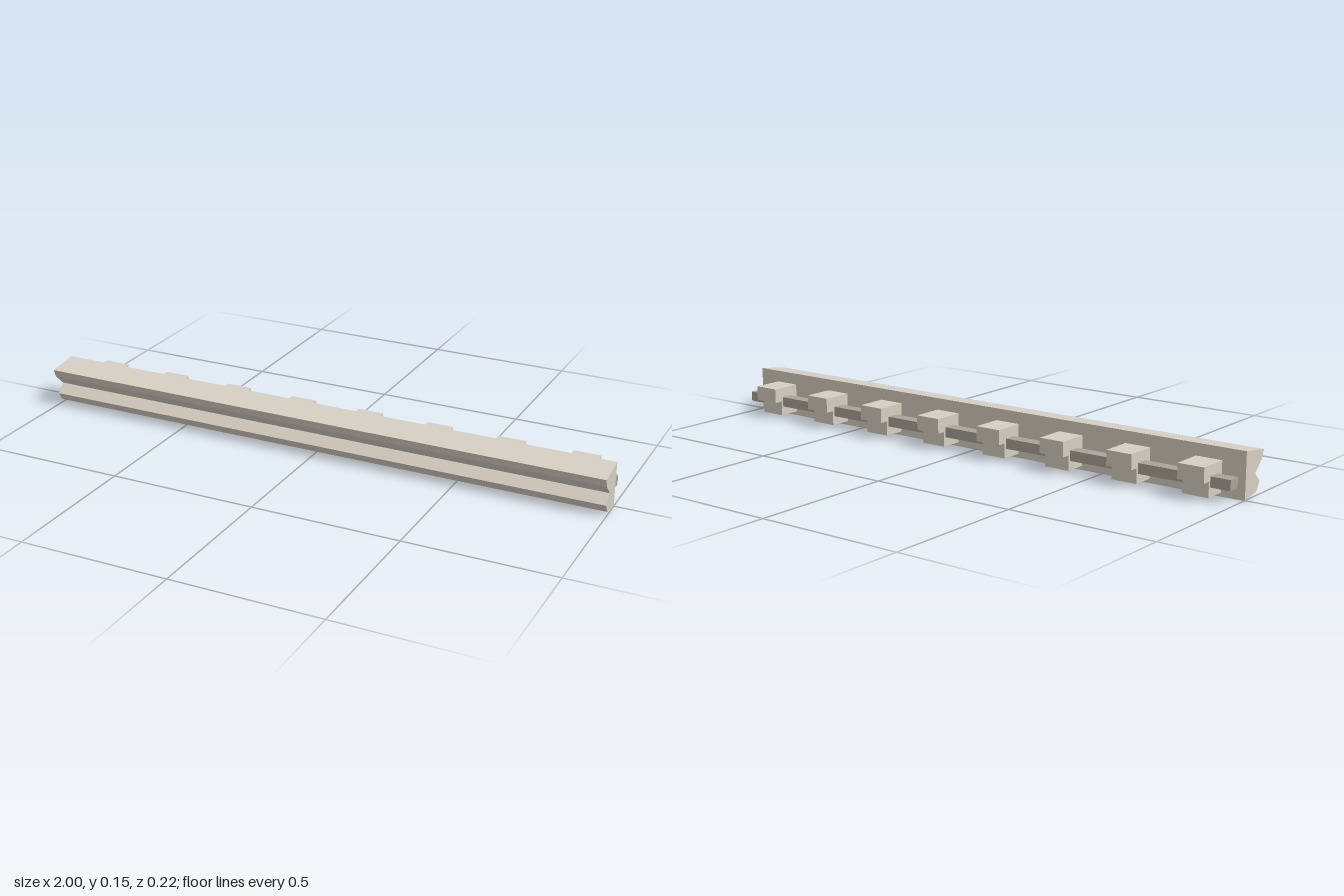
import * as THREE from 'three';

export function createModel() {
  const group = new THREE.Group();
  const stone = new THREE.MeshStandardMaterial({ color: 0xd6cfc2 });
  stone.name = 'pale stone';
  const darkStone = new THREE.MeshStandardMaterial({ color: 0xaaa498 });
  darkStone.name = 'dark stone';

  // Box given by its minimum and maximum corners
  const addBox = (parent, name, material, min, max) => {
    const size = max.map((v, i) => v - min[i]);
    const mesh = new THREE.Mesh(new THREE.BoxGeometry(...size), material);
    mesh.position.set(...max.map((v, i) => (v + min[i]) / 2));
    mesh.name = name;
    parent.add(mesh);
  };

  // Moulding: profile in (z, y), extruded along x
  const profile = [
    [0, 0], [0.07, 0.012], [0.088, 0.041], [0.059, 0.071],
    [0.098, 0.109], [0.108, 0.136], [0, 0.151],
  ].map(([z, y]) => new THREE.Vector2(z, y));
  const mouldingGeometry = new THREE.ExtrudeGeometry(new THREE.Shape(profile), {
    depth: 2, bevelEnabled: false,
  });
  mouldingGeometry.rotateY(-Math.PI / 2).translate(1, 0, 0);
  const moulding = new THREE.Mesh(mouldingGeometry, stone);
  moulding.name = 'moulding';
  group.add(moulding);

  // Long bar running through the brackets
  addBox(group, 'bar', darkStone, [-0.988, 0.042, -0.069], [0.988, 0.076, -0.026]);

  // Row of eight stepped brackets behind the moulding
  for (let i = 0; i < 8; i++) {
    const bracket = new THREE.Group();
    bracket.name = 'bracket';
    bracket.position.x = -0.875 + i * 0.25;
    addBox(bracket, 'bracketTop', stone, [-0.045, 0.061, -0.107], [0.045, 0.111, 0]);
    addBox(bracket, 'bracketFoot', stone, [-0.045, 0.011, -0.076], [0.045, 0.061, 0]);
    group.add(bracket);
  }

  return group;
}
